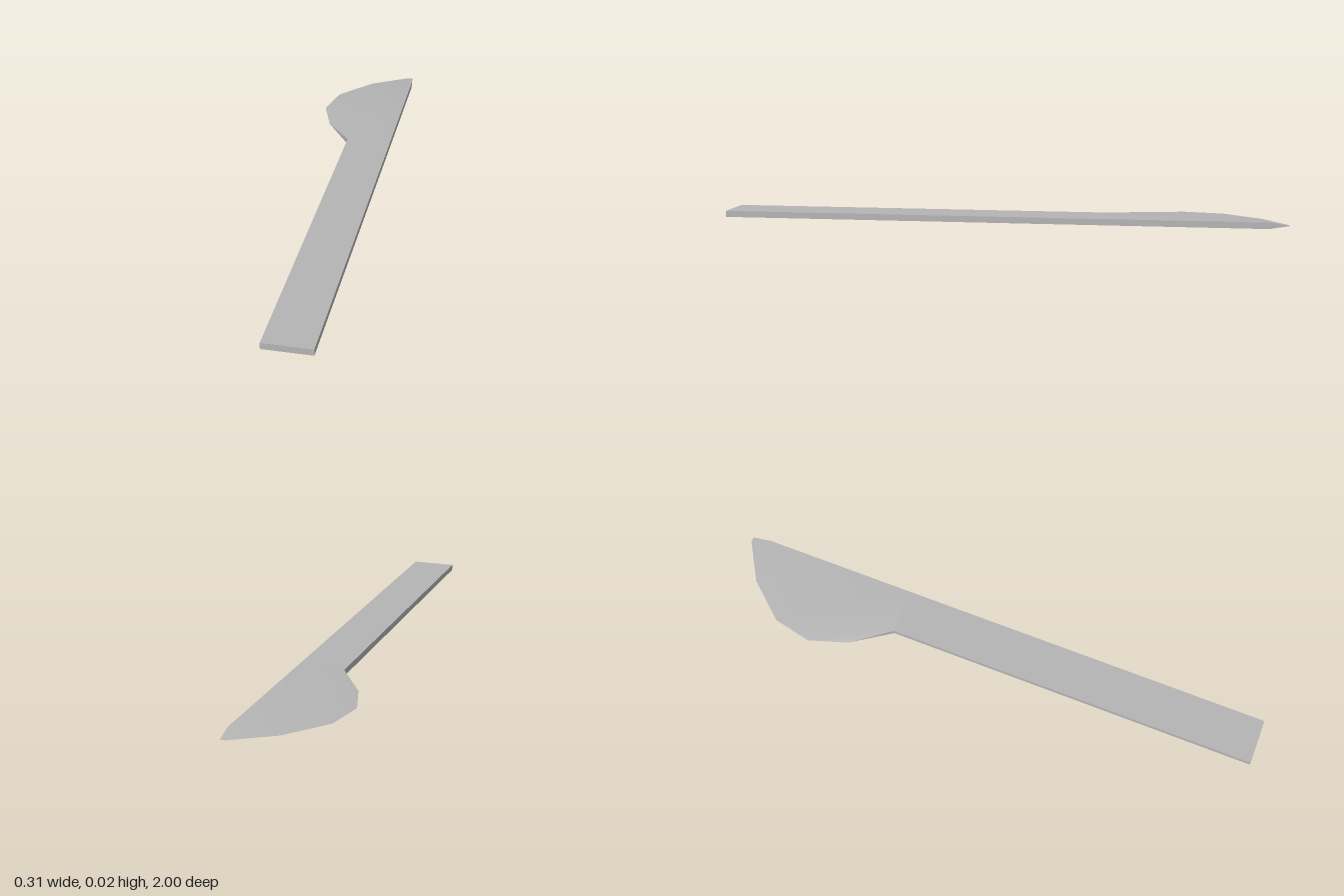
import * as THREE from 'three';
import { toCreasedNormals } from 'three/addons/utils/BufferGeometryUtils.js';

const T = 0.022; // thickness
const RIGHT = 0.155, LEFT = -0.01, JOINT = -0.36;

// sharp edge of the blade at mid height, [x, z], heel to tip
const EDGE = [[-0.11, -0.5], [-0.155, -0.64], [-0.125, -0.78], [-0.01, -0.915], [0.13, -1], [0.148, -1]];
// where the bevel meets the full thickness, paired with EDGE
const RIDGE = [[LEFT, JOINT], [0.01, -0.52], [0.03, -0.66], [0.07, -0.8], [RIGHT, -0.93], [RIGHT, -0.93]];

function bladeGeometry() {
  const pos = [];
  const at = ([x, z], y) => [x, y, z];
  const tri = (a, b, c) => pos.push(...a, ...b, ...c);
  const corner = [RIGHT, JOINT];
  const n = EDGE.length - 1;

  // top and bottom: flat core plus bevel
  for (const y of [T, 0]) {
    const face = (a, b, c) => (y > 0 ? tri(a, b, c) : tri(a, c, b));
    for (let i = 0; i < n; i++) {
      const r0 = at(RIDGE[i], y), r1 = at(RIDGE[i + 1], y);
      const e0 = at(EDGE[i], T / 2), e1 = at(EDGE[i + 1], T / 2);
      if (i < n - 1) {
        face(at(corner, y), r1, r0);
        face(r0, r1, e1);
      }
      face(r0, e1, e0);
    }
  }
  // heel
  tri(at(RIDGE[0], 0), at(RIDGE[0], T), at(EDGE[0], T / 2));
  // spine and pointed end
  const s = RIDGE[n];
  tri(at(corner, 0), at(s, 0), at(s, T));
  tri(at(corner, 0), at(s, T), at(corner, T));
  tri(at(s, 0), at(EDGE[n], T / 2), at(s, T));

  const geo = new THREE.BufferGeometry();
  geo.setAttribute('position', new THREE.Float32BufferAttribute(pos, 3));
  return toCreasedNormals(geo, 0.5);
}

export function createModel() {
  const group = new THREE.Group();
  const steel = new THREE.MeshStandardMaterial({ color: 0xb4b4b4 });
  steel.name = 'steel grey';

  // straight flat handle
  const handle = new THREE.Mesh(new THREE.BoxGeometry(RIGHT - LEFT, T, 1 - JOINT), steel);
  handle.position.set((RIGHT + LEFT) / 2, T / 2, (1 + JOINT) / 2);
  handle.name = 'handle';

  // bevelled blade
  const blade = new THREE.Mesh(bladeGeometry(), steel);
  blade.name = 'blade';

  group.add(handle, blade);
  return group;
}
